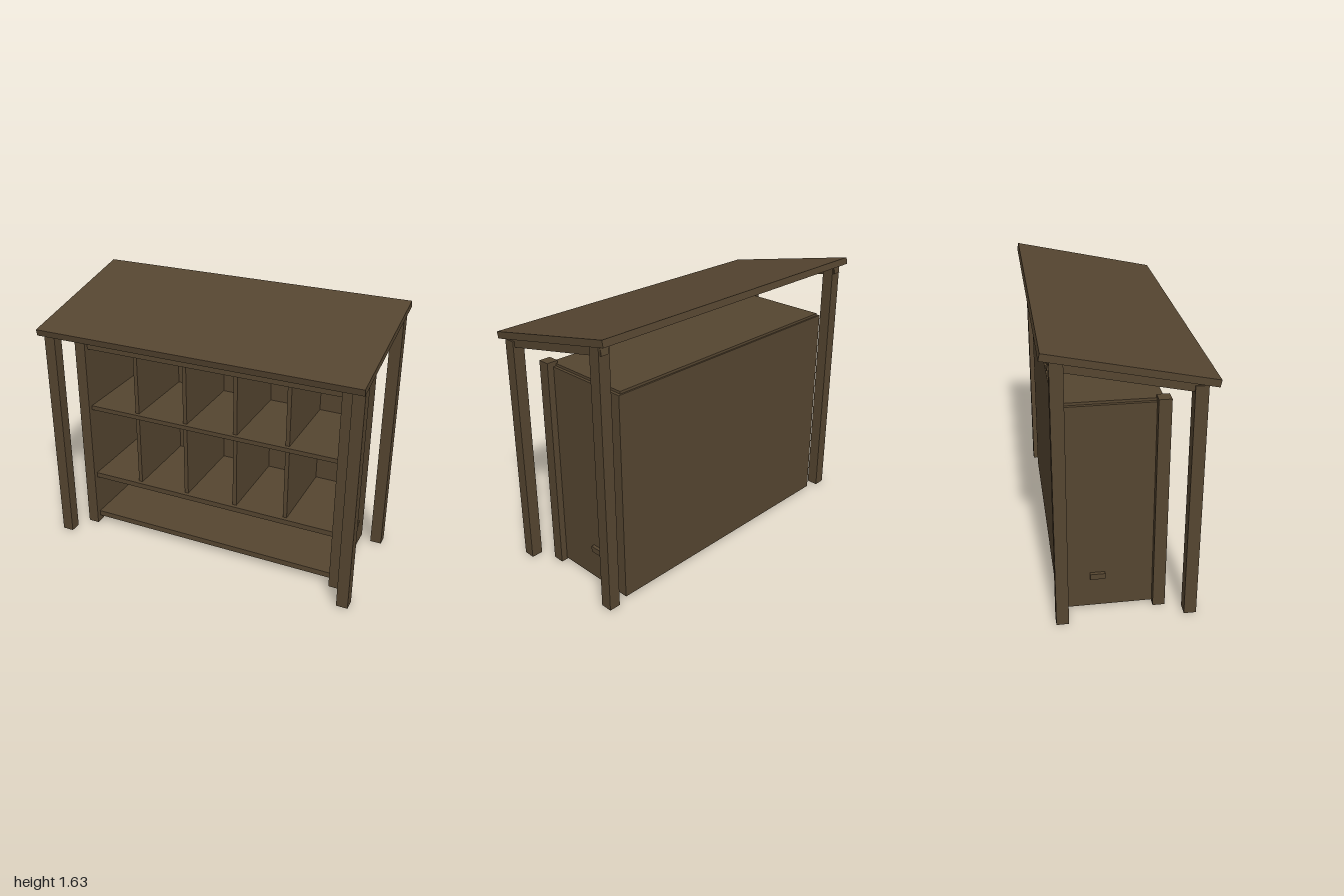
import * as THREE from 'three';

export function createModel() {
  const model = new THREE.Group();
  const wood = new THREE.MeshStandardMaterial({ color: 0x554530 });
  wood.name = 'dark wood';

  // Box given by its min and max on each axis
  function board(name, [x0, x1], [y0, y1], [z0, z1]) {
    const mesh = new THREE.Mesh(new THREE.BoxGeometry(x1 - x0, y1 - y0, z1 - z0), wood);
    mesh.position.set((x0 + x1) / 2, (y0 + y1) / 2, (z0 + z1) / 2);
    mesh.name = name;
    model.add(mesh);
    return mesh;
  }

  // The same board on both sides
  function pair(name, [x0, x1], y, z) {
    board(name + 'Left', [x0, x1], y, z);
    board(name + 'Right', [-x1, -x0], y, z);
  }

  // Sloping roof and its two rafters
  const slope = 0.21;
  const roof = board('roof', [-1, 1], [1.495, 1.535], [-0.456, 0.456]);
  roof.rotation.x = slope;
  for (const s of [-1, 1]) {
    const rafter = board('rafter', [s * 0.955 - 0.025, s * 0.955 + 0.025], [1.446, 1.496], [-0.414, 0.4]);
    rafter.rotation.x = slope;
  }

  // Roof posts
  pair('frontRoofPost', [0.92, 0.99], [0.005, 1.41], [0.32, 0.39]);
  pair('backRoofPost', [0.92, 0.99], [0.005, 1.575], [-0.4, -0.33]);

  // Cabinet carcass
  pair('cabinetPost', [0.82, 0.89], [0, 1.3], [0.16, 0.23]);
  pair('sidePanel', [0.82, 0.85], [0.01, 1.27], [-0.36, 0.16]);
  pair('handle', [0.81, 0.87], [0.2, 0.235], [-0.195, -0.11]);
  board('backPanel', [-0.85, 0.85], [0.01, 1.27], [-0.375, -0.36]);
  board('topPanel', [-0.832, 0.832], [1.255, 1.285], [-0.365, 0.2]);

  // Bottom board and shelves
  for (const [y0, y1] of [[0.04, 0.075], [0.342, 0.375], [0.84, 0.868]]) {
    board('shelf', [-0.82, 0.82], [y0, y1], [-0.36, 0.2]);
  }

  // Upright dividers in the two upper rows
  for (const y of [[0.375, 0.84], [0.868, 1.255]]) {
    for (let i = 0; i < 4; i++) {
      const x = (i - 1.5) * 0.334;
      board('divider', [x - 0.0125, x + 0.0125], y, [-0.36, 0.175]);
    }
  }
  return model;
}
